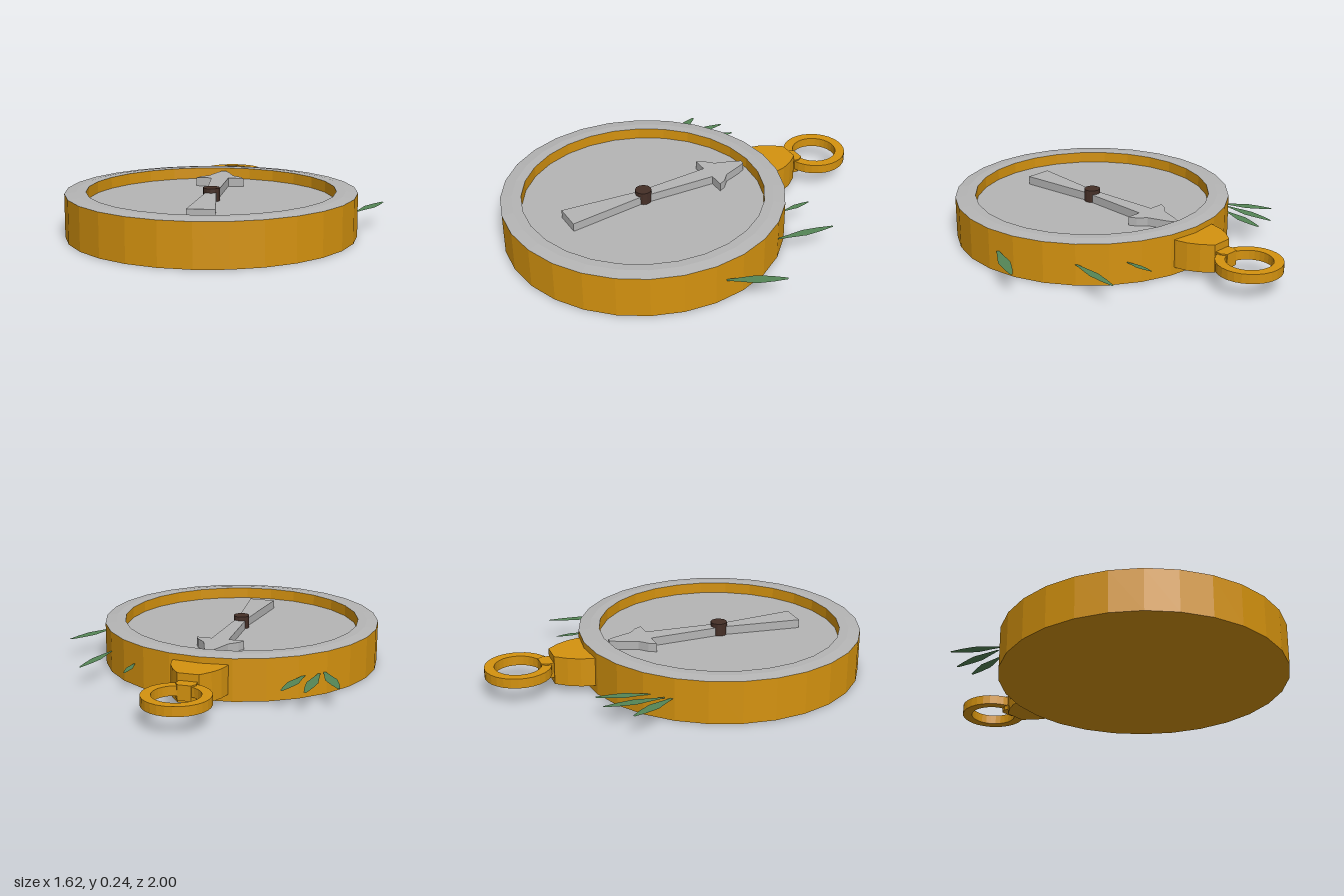
import * as THREE from 'three';

const mat = (name, color, extra = {}) => {
  const m = new THREE.MeshStandardMaterial({ color, flatShading: true, ...extra });
  m.name = name;
  return m;
};

export function createModel() {
  const gold = mat('gold', 0xd4920f);
  const grey = mat('grey', 0xb5b5b5);
  const brown = mat('dark brown', 0x452f27);
  const green = mat('leaf green', 0x558556, { side: THREE.DoubleSide });

  const group = new THREE.Group();
  group.name = 'compass';
  const body = new THREE.Group();
  body.name = 'compassBody';
  body.position.set(-0.07, 0, 0.255);
  group.add(body);

  const add = (name, geometry, material) => {
    const mesh = new THREE.Mesh(geometry, material);
    mesh.name = name;
    body.add(mesh);
    return mesh;
  };
  const lathe = (points, sides = 28) =>
    new THREE.LatheGeometry(points.map(([r, y]) => new THREE.Vector2(r, y)), sides);
  // Outline in x and z, lying flat
  const outline = (points) => new THREE.Shape(points.map(([x, z]) => new THREE.Vector2(x, -z)));
  // Slab from one half of a mirrored outline
  const slab = (half, y, depth) => {
    const other = half.map(([x, z]) => [-x, z]).reverse();
    return new THREE.ExtrudeGeometry(outline([...half, ...other]), { depth, bevelEnabled: false })
      .rotateX(-Math.PI / 2).translate(0, y, 0);
  };

  // Case, rim and dial
  add('case', lathe([[0, 0], [0.74, 0], [0.74, 0.222]]), gold);
  add('rim', lathe([[0.74, 0.222], [0.68, 0.23], [0.632, 0.229]]), grey);
  add('innerWall', lathe([[0.632, 0.229], [0.632, 0.17]]), gold);
  add('dial', lathe([[0.632, 0.17], [0, 0.17]]), grey);

  // Needle and pivot
  add('needleTail', slab([[0.07, 0.435], [0.025, 0]], 0.165, 0.05), grey);
  add('needleShaft', slab([[0.028, 0], [0.046, -0.395]], 0.165, 0.05), grey);
  add('needleHead', slab([[0.128, -0.392], [0.108, -0.43], [0.065, -0.47],
    [0.03, -0.57], [0.012, -0.607]], 0.165, 0.05), grey);
  add('pivot', new THREE.CylinderGeometry(0.043, 0.043, 0.068, 12).translate(0, 0.203, 0), brown);

  // Crown, connector and hanging ring
  add('crown', slab([[0.143, -0.68], [0.143, -0.735], [0.13, -0.795], [0.1, -0.855],
    [0.055, -0.912]], 0.04, 0.15), gold);
  add('connector', slab([[0.045, -0.9], [0.052, -0.945], [0.035, -0.975]], 0.073, 0.079), gold);
  add('ring', lathe([[0.12, 0.095], [0.17, 0.095], [0.17, 0.145], [0.12, 0.145], [0.12, 0.095]]), gold)
    .position.z = -1.085;

  // Flat leaves: base x, base z, tip x, tip z, width
  const leaves = [
    [-0.565, -0.465, -0.69, -0.705, 0.062],
    [-0.548, -0.5, -0.545, -0.81, 0.058],
    [-0.485, -0.55, -0.43, -0.815, 0.056],
    [0.385, -0.62, 0.38, -0.79, 0.034],
    [0.577, -0.46, 0.628, -0.772, 0.05],
    [0.735, -0.06, 0.877, -0.33, 0.062],
  ];
  // Position along the leaf and half width
  const leafHalf = [[0, 0.1], [0.2, 0.25], [0.48, 0.5], [0.75, 0.34], [0.98, 0.1]];
  leaves.forEach(([bx, bz, tx, tz, width], i) => {
    const dx = tx - bx, dz = tz - bz, len = Math.hypot(dx, dz);
    const at = (t, w) => [bx + dx * t - (dz / len) * w * width, bz + dz * t + (dx / len) * w * width];
    const points = [
      ...leafHalf.map(([t, w]) => at(t, w)),
      ...leafHalf.map(([t, w]) => at(t, -w)).reverse(),
    ];
    add(`leaf${i + 1}`, new THREE.ShapeGeometry(outline(points))
      .rotateX(-Math.PI / 2).translate(0, 0.115, 0), green);
  });

  return group;
}
